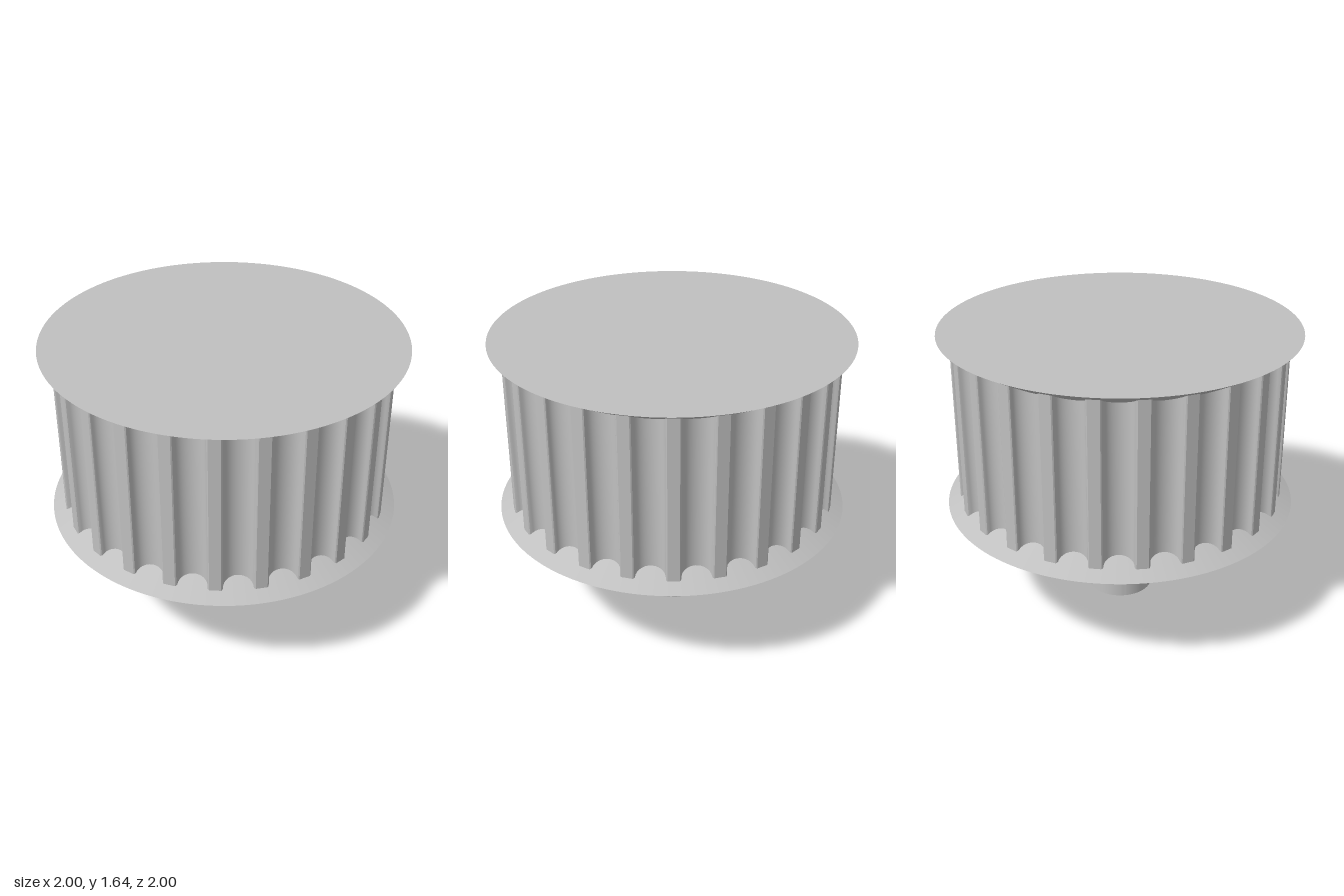
import * as THREE from 'three';
import { toCreasedNormals } from 'three/addons/utils/BufferGeometryUtils.js';

const TEETH = 24;
const TIP_R = 0.93;

// Toothed outline: rounded grooves between narrow, slightly eased teeth
function toothOutline() {
  const pts = [];
  for (let i = 0; i < TEETH; i++) {
    const a = ((i + 0.5) / TEETH) * Math.PI * 2; // groove centre
    const add = (u, r) => pts.push(new THREE.Vector2(
      r * Math.cos(a) - u * Math.sin(a), r * Math.sin(a) + u * Math.cos(a)));
    add(-0.09, TIP_R - 0.005);
    add(-0.083, TIP_R - 0.009);
    for (let k = 0; k <= 14; k++) {
      const t = (k / 14) * Math.PI;
      add(-0.08 * Math.cos(t), 0.915 - 0.06 * Math.sin(t));
    }
    add(0.083, TIP_R - 0.009);
    add(0.09, TIP_R - 0.005);
  }
  return new THREE.Shape(pts);
}

// Upright prism from a shape, from y0 to y1
function prism(shape, y0, y1) {
  const g = new THREE.ExtrudeGeometry(shape, { depth: y1 - y0, bevelEnabled: false, curveSegments: 64 });
  g.rotateX(-Math.PI / 2).translate(0, y0, 0);
  return toCreasedNormals(g, 0.5);
}

export function createModel() {
  const group = new THREE.Group();
  const metal = new THREE.MeshStandardMaterial({ color: 0xc0c0c0 });
  metal.name = 'grey metal';
  const add = (name, geometry) => {
    const mesh = new THREE.Mesh(geometry, metal);
    mesh.name = name;
    group.add(mesh);
  };

  add('toothedDrum', prism(toothOutline(), 0.64, 1.62));

  // Conical flanges with knife edges
  const h = 0.115;
  add('lowerFlange', new THREE.CylinderGeometry(0.8, 1, h, 128).translate(0, 0.62 + h / 2, 0));
  add('upperFlange', new THREE.CylinderGeometry(1, 0.8, h, 128).translate(0, 1.64 - h / 2, 0));

  // Hub with a bore that has two flats
  const hub = new THREE.Shape().absarc(0, 0, 0.19, 0, Math.PI * 2, false);
  const boreR = 0.14;
  const flat = Math.asin(0.095 / boreR);
  const bore = new THREE.Path();
  bore.absarc(0, 0, boreR, -flat, flat, false);
  bore.absarc(0, 0, boreR, Math.PI - flat, Math.PI + flat, false);
  bore.closePath();
  hub.holes.push(bore);
  add('hub', prism(hub, 0, 0.63));

  return group;
}
